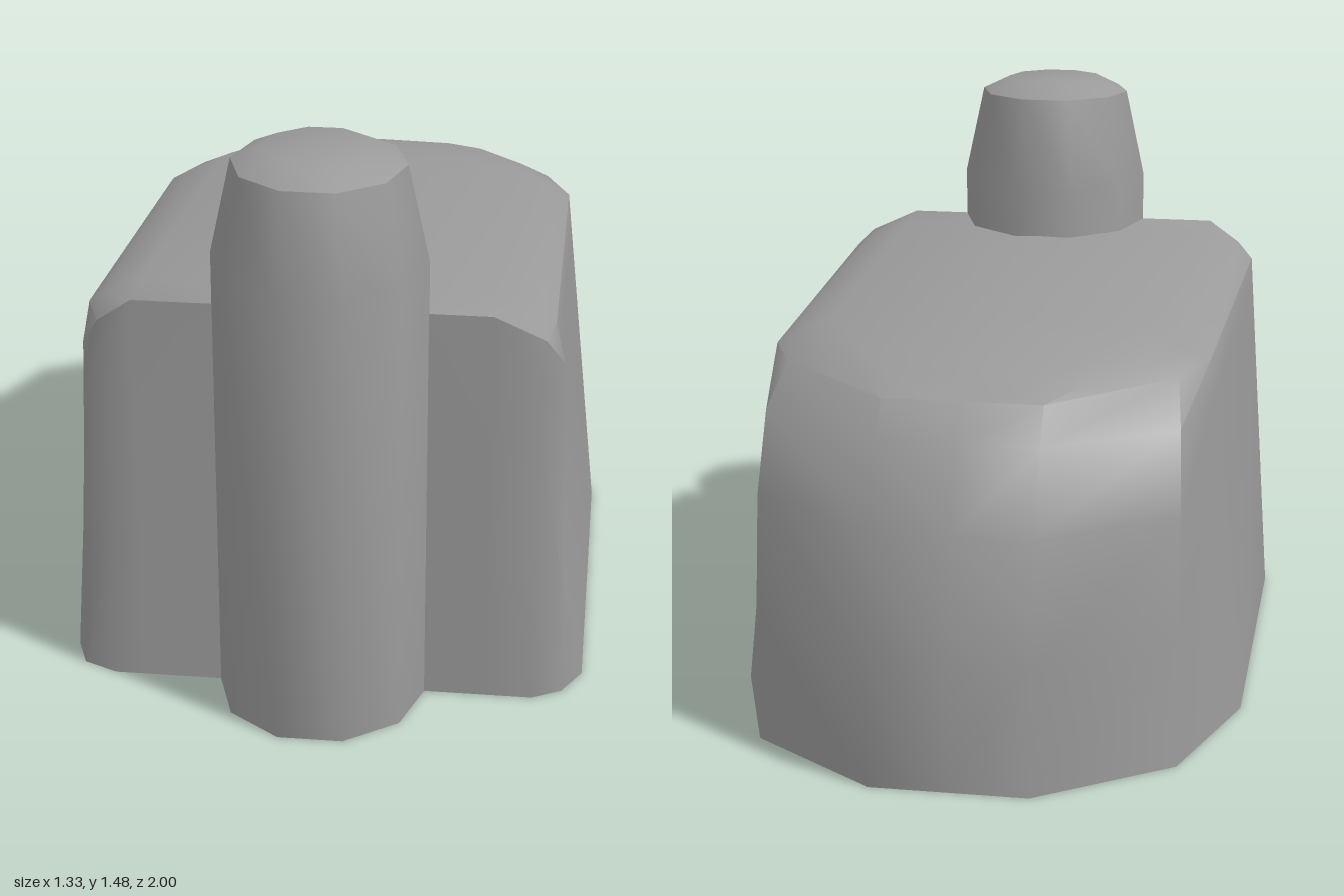
import * as THREE from 'three';
import { toCreasedNormals } from 'three/addons/utils/BufferGeometryUtils.js';

const material = new THREE.MeshStandardMaterial({ color: 0x9a9a9a });

// Heights up a wall column, and how far it has moved from base to rim at each
const heights = [0, 0.355, 0.69, 0.903, 1];
const rearLean = [0, 0, 0.27, 0.68, 1];
const cornerLean = [0, 0, 0.12, 0.4, 1];

// One half of the body; the +x half is pinched slightly at the front shoulder
function addHalf(positions, side) {
  const [shoulder, flat, foot] = side > 0 ? [0.567, 0.42, 0.615] : [0.6, 0.465, 0.63];
  const tri = (a, b, c) => {
    const corners = side > 0 ? [a, b, c] : [a, c, b];
    for (const [x, y, z] of corners) positions.push(side * x, y, z);
  };
  const quad = (a, b, c, d) => { tri(a, b, c); tri(a, c, d); };

  // Roof: rows run front to back, points run centre to rim
  const roof = [
    [[0, 1.065, 0.75], [flat, 1.065, 0.75], [0.55, 1.005, 0.745], [0.595, 0.93, 0.71]],
    [[0, 1.06, 0.6], [flat, 1.06, 0.6], [shoulder - 0.04, 1.02, 0.6], [shoulder, 0.99, 0.6]],
    [[0, 1.033, -0.37], [0.42, 1.02, -0.37], [0.52, 0.97, -0.37], [0.565, 0.945, -0.37]],
    [[0, 1.0, -0.57], [0.3, 0.997, -0.57], [0.42, 0.965, -0.545], [0.5, 0.94, -0.52]],
    [[0, 0.97, -0.69], [0.2, 0.965, -0.69], [0.28, 0.95, -0.665], [0.35, 0.935, -0.65]],
    [[0, 0.93, -0.78], [0.08, 0.93, -0.78], [0.14, 0.93, -0.78], [0.2, 0.93, -0.78]],
  ];
  for (let r = 0; r < roof.length - 1; r++) {
    for (let c = 0; c < 3; c++) {
      quad(roof[r][c], roof[r][c + 1], roof[r + 1][c + 1], roof[r + 1][c]);
    }
  }

  // Wall columns from rear centre to front centre: base x, base z, rim point, lean
  const wall = [
    [0, -1, roof[5][0], rearLean],
    [0.2, -1, roof[5][3], rearLean],
    [0.535, -0.76, roof[3][3], cornerLean],
    [0.665, -0.37, roof[2][3], heights],
    [0.665, 0.62, roof[1][3], heights],
    [foot, 0.71, roof[0][3], heights],
    [0.54, 0.75, roof[0][2], heights],
    [flat, 0.75, roof[0][1], heights],
    [0, 0.75, roof[0][0], heights],
  ].map(([x, z, rim, lean]) => heights.map((h, i) => [
    x + (rim[0] - x) * lean[i], rim[1] * h, z + (rim[2] - z) * lean[i],
  ]));
  for (let i = 0; i < wall.length - 1; i++) {
    const [rear, front] = [wall[i], wall[i + 1]];
    for (let j = 0; j < heights.length - 1; j++) {
      quad(rear[j], rear[j + 1], front[j + 1], front[j]);
    }
    // Underside
    tri([0, 0, 0], rear[0], front[0]);
  }
}

function bodyGeometry() {
  const positions = [];
  addHalf(positions, 1);
  addHalf(positions, -1);
  const geometry = new THREE.BufferGeometry();
  geometry.setAttribute('position', new THREE.Float32BufferAttribute(positions, 3));
  return toCreasedNormals(geometry, 0.75);
}

// Ten-sided post with a tapered, chamfered head
function postGeometry() {
  const profile = [[0, 0], [0.265, 0], [0.265, 1.2], [0.212, 1.445], [0.135, 1.482], [0, 1.482]]
    .map(([r, y]) => new THREE.Vector2(r, y));
  return toCreasedNormals(new THREE.LatheGeometry(profile, 10, Math.PI / 10), 0.7);
}

export function createModel() {
  const model = new THREE.Group();

  const body = new THREE.Mesh(bodyGeometry(), material);
  body.name = 'roundedBody';

  const post = new THREE.Mesh(postGeometry(), material);
  post.name = 'frontPost';
  post.position.z = 0.748;

  model.add(body, post);
  return model;
}
